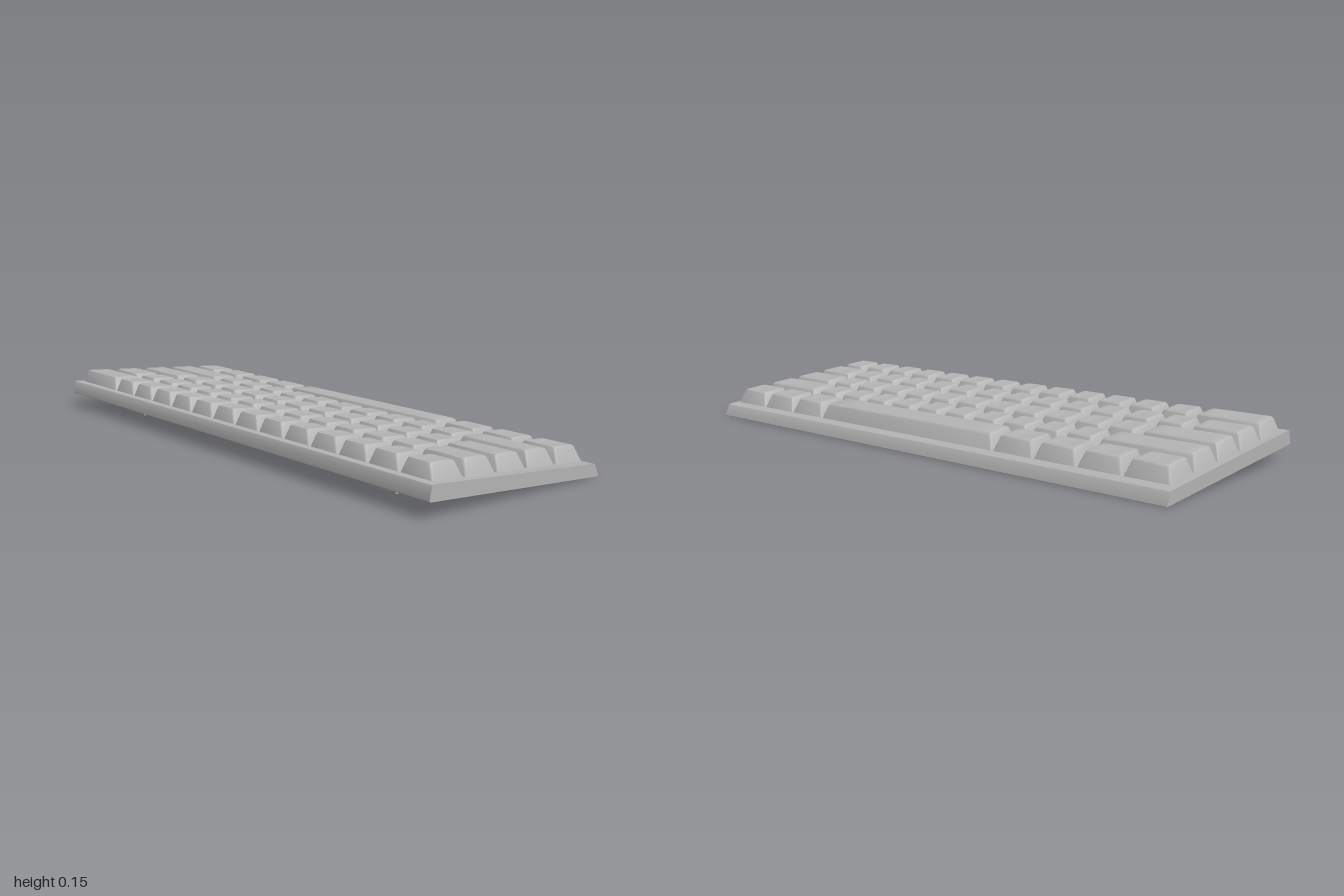
import * as THREE from 'three';
import { toCreasedNormals } from 'three/addons/utils/BufferGeometryUtils.js';

const TILT = -0.075;
const UNIT = 0.1305;    // key pitch along a row
const PITCH = 0.1325;   // spacing between rows
const HEIGHT = 0.051;

// Rounded polygon as a closed shape
function roundedShape(points, r) {
  const shape = new THREE.Shape();
  const v = points.map(p => new THREE.Vector2(...p));
  v.forEach((p, i) => {
    const prev = v[(i + v.length - 1) % v.length], next = v[(i + 1) % v.length];
    const a = p.clone().add(prev.clone().sub(p).setLength(r));
    const b = p.clone().add(next.clone().sub(p).setLength(r));
    if (i === 0) shape.moveTo(a.x, a.y); else shape.lineTo(a.x, a.y);
    shape.quadraticCurveTo(p.x, p.y, b.x, b.y);
  });
  shape.closePath();
  return shape;
}

// Profile in the x-y plane, extruded along z and centred
function extrudeAlongZ(shape, depth) {
  const g = new THREE.ExtrudeGeometry(shape, { depth, bevelEnabled: false, curveSegments: 5 });
  g.translate(0, 0, -depth / 2);
  return toCreasedNormals(g, 0.6);
}

// Rounded rectangle loop in the x-z plane
function loop(x0, x1, hz, r) {
  const pts = [], cx = (x0 + x1) / 2, hx = (x1 - x0) / 2;
  [[1, 1], [-1, 1], [-1, -1], [1, -1]].forEach(([sx, sz], c) => {
    for (let k = 0; k <= 3; k++) {
      const a = (c + k / 3) * Math.PI / 2;
      pts.push([cx + sx * (hx - r) + r * Math.cos(a), sz * (hz - r) + r * Math.sin(a)]);
    }
  });
  return pts;
}

// Tapered keycap: stacked loops closing into a shallow dished top
function keycapGeometry(units) {
  const hz = (units * UNIT - 0.007) / 2, hx = 0.062, topHz = hz - 0.018;
  const rings = [];
  const taper = (t, y, inset, scale = 1) => {
    const x0 = -hx + 0.007 * t + inset, x1 = hx - 0.022 * t - inset, z = hz - 0.018 * t - inset;
    const mid = (x0 + x1) / 2;
    rings.push(loop(x0, x1, z, 0.004 + 0.005 * t).map(([px, pz]) => {
      const qz = pz * scale;
      const dish = t === 1 ? 0.003 * (1 - Math.min(1, (qz / topHz) ** 2)) : 0;
      return [mid + (px - mid) * scale, y - dish, qz];
    }));
  };
  taper(0, 0, 0, 0);
  taper(0, 0, 0);
  taper(0.85, HEIGHT * 0.86, 0);
  taper(0.94, HEIGHT * 0.95, 0.0015);
  taper(1, HEIGHT, 0.005);
  for (const s of [0.75, 0.5, 0.25, 0]) taper(1, HEIGHT, 0.005, s);

  const n = rings[0].length, index = [];
  for (let j = 0; j < rings.length - 1; j++) {
    for (let i = 0; i < n; i++) {
      const a = j * n + i, b = j * n + (i + 1) % n, c = a + n, d = b + n;
      if (j > 0) index.push(a, c, b);
      if (j < rings.length - 2) index.push(b, c, d);
    }
  }
  const g = new THREE.BufferGeometry();
  g.setAttribute('position', new THREE.Float32BufferAttribute(rings.flat(2), 3));
  g.setIndex(index);
  return toCreasedNormals(g, 0.7);
}

export function createModel() {
  const model = new THREE.Group();
  model.name = 'keyboard';
  const grey = new THREE.MeshStandardMaterial({ color: 0xb4b4b4 });
  grey.name = 'grey plastic';
  const add = (parent, geometry, name) => {
    const mesh = new THREE.Mesh(geometry, grey);
    mesh.name = name;
    parent.add(mesh);
    return mesh;
  };

  // Wedge-shaped case
  const profile = [[-0.372, 0.055], [0.371, 0.001], [0.349, 0.044], [-0.36, 0.103]];
  add(model, extrudeAlongZ(roundedShape(profile, 0.005), 2), 'case');

  // Key widths per row in units, listed from +z to -z
  const ones = count => Array(count).fill(1);
  const rows = [
    [...ones(13), 2],
    [1.5, ...ones(12), 1.5],
    [1.75, ...ones(11), 2.25],
    [2.25, ...ones(10), 2.75],
    [1.25, 1.25, 1.25, 6.25, 1.25, 1.25, 1.25, 1.25],
  ];
  const caps = {};
  rows.forEach((widths, r) => {
    const row = new THREE.Group();
    row.name = `keyRow${r + 1}`;
    row.position.set(-0.27 + PITCH * r, 0.0945 - 0.0098 * r, -0.005);
    row.rotation.z = TILT;
    model.add(row);
    let z = 7.5 * UNIT;
    for (const w of widths) {
      caps[w] ??= keycapGeometry(w);
      const key = add(row, caps[w], w > 6 ? 'spaceBar' : 'keycap');
      key.position.z = z - w * UNIT / 2;
      z -= w * UNIT;
    }
  });

  // Fold-out feet under the raised edge
  const footShape = roundedShape([[-0.055, -0.008], [0.055, -0.008], [0.055, 0.008], [-0.055, 0.008]], 0.006);
  const footGeometry = extrudeAlongZ(footShape, 0.115);
  for (const side of [1, -1]) {
    const foot = add(model, footGeometry, side > 0 ? 'leftFoot' : 'rightFoot');
    foot.position.set(-0.211, 0.034, side * 0.7);
    foot.rotation.z = 0.49;
  }
  return model;
}
